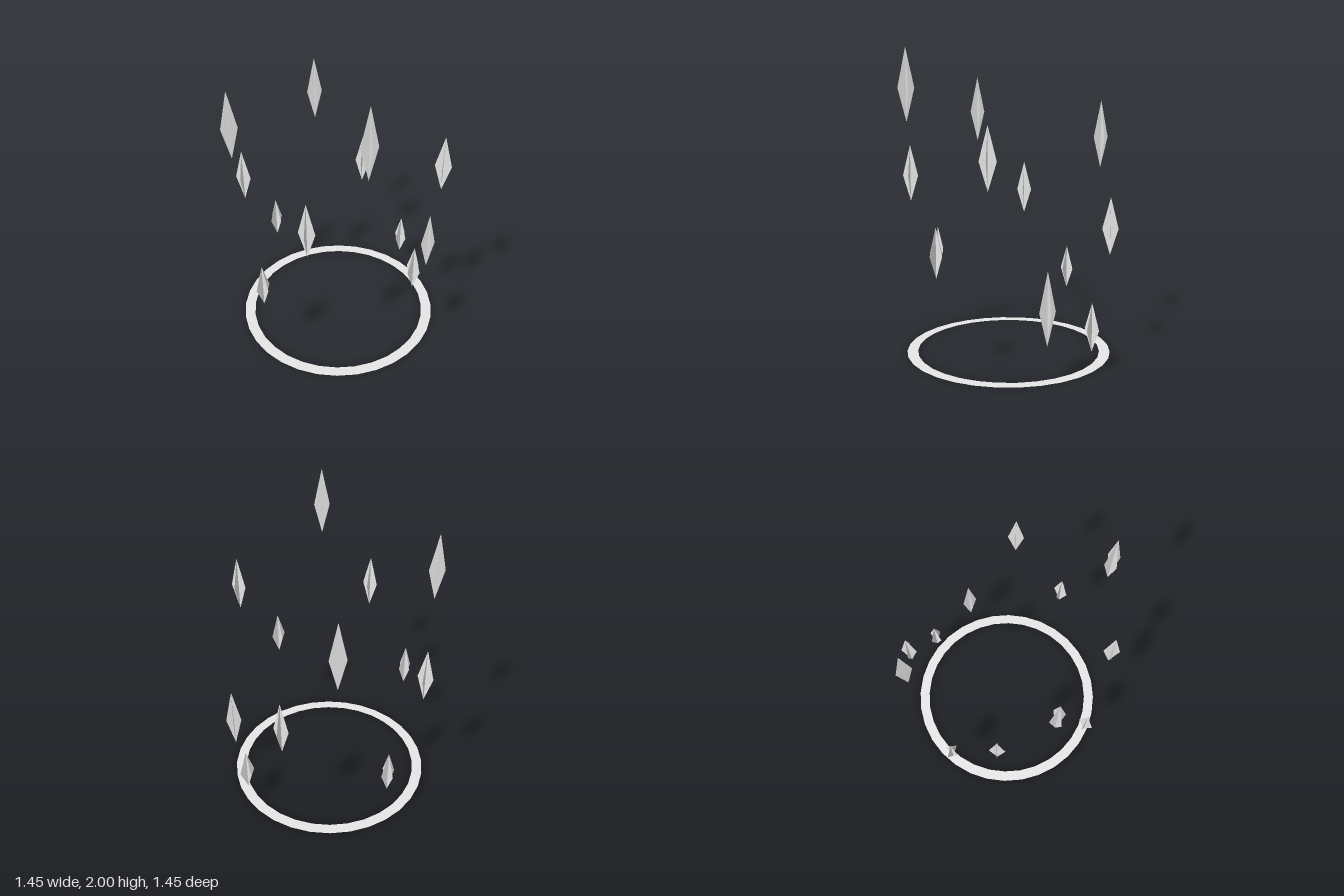
import * as THREE from 'three';

const pale = new THREE.MeshStandardMaterial({ color: 0xe6e6e6, side: THREE.DoubleSide });
pale.name = 'paleGrey';

// Diamond-shaped card; y = 0 is the level of its widest point
function diamond(halfWidth, below, above) {
  const s = new THREE.Shape();
  s.moveTo(0, -below);
  s.lineTo(halfWidth, 0);
  s.lineTo(0, above);
  s.lineTo(-halfWidth, 0);
  s.closePath();
  return new THREE.ShapeGeometry(s);
}

export function createModel() {
  const group = new THREE.Group();
  group.name = 'crystalRing';

  // Flat ring on the ground
  const ring = new THREE.Mesh(new THREE.RingGeometry(0.613, 0.685, 32), pale);
  ring.name = 'groundRing';
  ring.rotation.x = -Math.PI / 2;
  group.add(ring);

  // Three crystal sizes, four of each a quarter turn apart, rising in a spiral.
  // start: angle in degrees of the first; levels: height of the widest point
  const sets = [
    { name: 'smallCrystal', below: 0.142, above: 0.17, start: 0, levels: [0.272, 0.433, 0.595, 0.757] },
    { name: 'mediumCrystal', below: 0.173, above: 0.207, start: -30, levels: [0.847, 1.008, 1.17, 1.332] },
    { name: 'largeCrystal', below: 0.209, above: 0.25, start: 30, levels: [0.441, 1.424, 1.588, 1.75] },
  ];

  for (const { name, below, above, start, levels } of sets) {
    const card = diamond(0.053, below, above);
    levels.forEach((y, i) => {
      const angle = THREE.MathUtils.degToRad(start - 90 * i);
      const crystal = new THREE.Group();
      crystal.name = name + (i + 1);
      crystal.position.set(0.673 * Math.cos(angle), y, 0.673 * Math.sin(angle));
      crystal.rotation.y = -angle;
      // Two crossed cards, one radial and one tangential
      for (const turn of [0, Math.PI / 2]) {
        const mesh = new THREE.Mesh(card, pale);
        mesh.name = turn ? 'tangentCard' : 'radialCard';
        mesh.rotation.y = turn;
        crystal.add(mesh);
      }
      group.add(crystal);
    });
  }
  return group;
}
